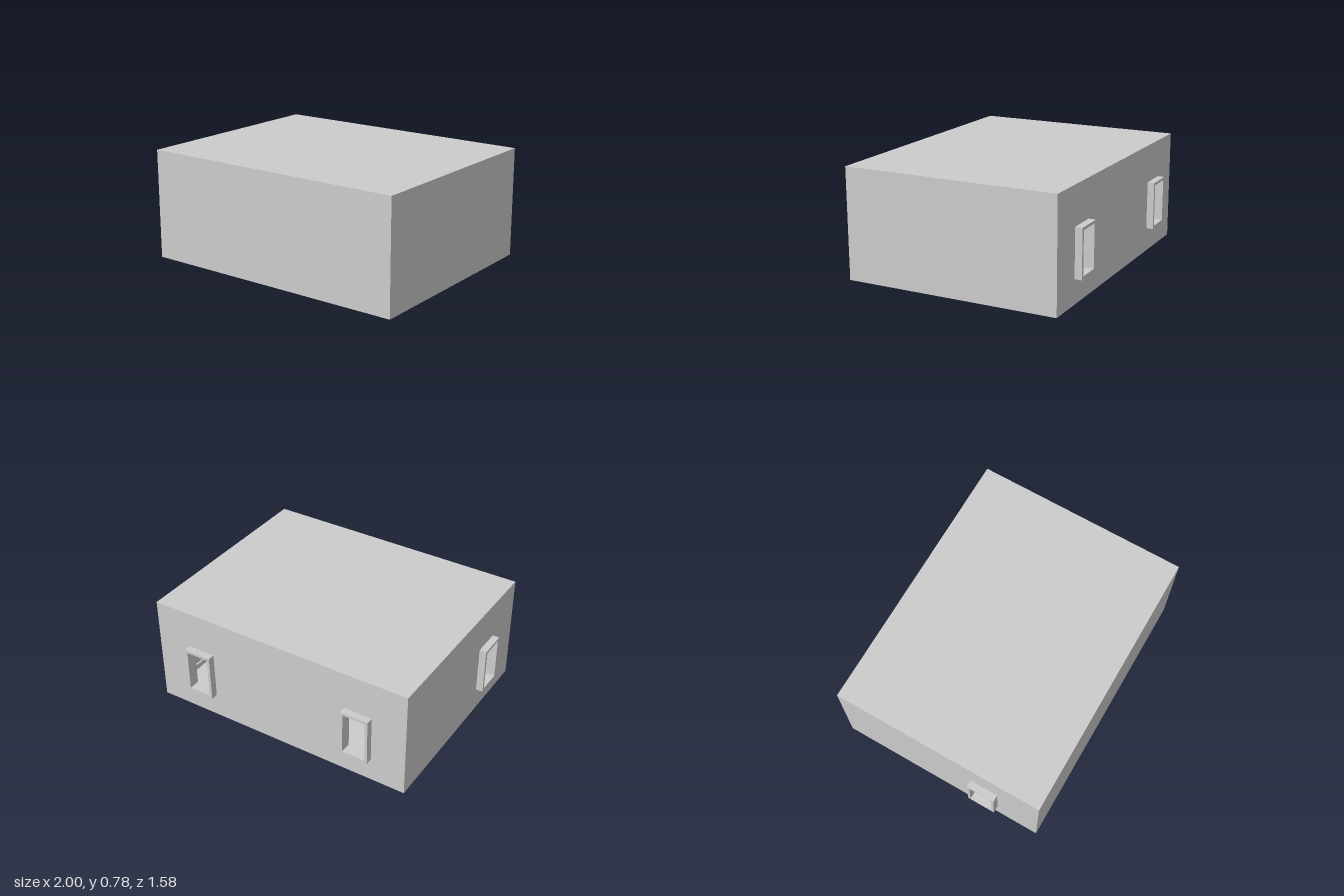
import * as THREE from 'three';

const X0 = -0.95, X1 = 1, Z0 = -0.74, Z1 = 0.785, H = 0.78; // room extents
const T = 0.03;                                             // wall thickness
const SILL = 0.17, HEAD = 0.51, RIM = 0.02, PROUD = 0.05;   // window measures

const grey = new THREE.MeshStandardMaterial({ color: 0xcccccc, flatShading: true });

function rect(Type, u0, u1, v0, v1) {
  const p = new Type();
  p.moveTo(u0, v0);
  p.lineTo(u1, v0);
  p.lineTo(u1, v1);
  p.lineTo(u0, v1);
  p.closePath();
  return p;
}

// Upright panel with rectangular openings, extruded along its local z
function panel(name, outline, holes, depth) {
  const shape = rect(THREE.Shape, ...outline);
  holes.forEach(h => shape.holes.push(rect(THREE.Path, ...h)));
  const geo = new THREE.ExtrudeGeometry(shape, { depth, bevelEnabled: false });
  const mesh = new THREE.Mesh(geo, grey);
  mesh.name = name;
  return mesh;
}

function box(name, x0, x1, y0, y1, z0, z1) {
  const mesh = new THREE.Mesh(new THREE.BoxGeometry(x1 - x0, y1 - y0, z1 - z0), grey);
  mesh.position.set((x0 + x1) / 2, (y0 + y1) / 2, (z0 + z1) / 2);
  mesh.name = name;
  return mesh;
}

// Frame lining a window opening
function windowFrame([u0, u1]) {
  return panel('windowFrame', [u0, u1, SILL, HEAD],
    [[u0 + RIM, u1 - RIM, SILL + RIM, HEAD - RIM]], T + PROUD);
}

export function createModel() {
  const model = new THREE.Group();
  model.name = 'room';
  const ix0 = X0 + T, ix1 = X1 - T, iz0 = Z0 + T, iz1 = Z1 - T;

  // Floor, ceiling and the two plain walls
  model.add(
    box('floor', X0, X1, 0, T, Z0, Z1),
    box('ceiling', X0, X1, H - T, H, Z0, Z1),
    box('frontWall', X0, X1, T, H - T, iz1, Z1),
    box('leftWall', ix1, X1, T, H - T, iz0, iz1));

  // Back wall with two framed windows
  const backWindows = [[-0.7, -0.495], [0.54, 0.745]];
  const backWall = panel('backWall', [X0, X1, T, H - T],
    backWindows.map(w => [...w, SILL, HEAD]), T);
  backWall.position.z = Z0;
  model.add(backWall);
  for (const w of backWindows) {
    const frame = windowFrame(w);
    frame.position.z = Z0 - PROUD;
    model.add(frame);
  }

  // Side wall with one framed window
  const sideWindow = [0.27, 0.475];
  const sideWall = panel('rightWall', [iz0, iz1, T, H - T], [[...sideWindow, SILL, HEAD]], T);
  for (const part of [sideWall, windowFrame(sideWindow)]) {
    part.rotation.y = -Math.PI / 2;
    part.position.x = ix0;
    model.add(part);
  }

  // Interior trim: skirting and cornice around the room
  for (const [name, y0, y1] of [['skirting', T, 0.07], ['cornice', H - T - 0.03, H - T]]) {
    const d = 0.012;
    model.add(
      box(name, ix0, ix1, y0, y1, iz0, iz0 + d),
      box(name, ix0, ix1, y0, y1, iz1 - d, iz1),
      box(name, ix0, ix0 + d, y0, y1, iz0 + d, iz1 - d),
      box(name, ix1 - d, ix1, y0, y1, iz0 + d, iz1 - d));
  }

  // Thin wall rail on the plain walls, and a ceiling beam
  model.add(
    box('wallRail', ix0, ix1, 0.18, 0.19, iz1 - 0.006, iz1),
    box('wallRail', ix1 - 0.006, ix1, 0.18, 0.19, iz0, iz1 - 0.006),
    box('ceilingBeam', ix0, ix1, H - T - 0.06, H - T, -0.2, -0.12));

  return model;
}
